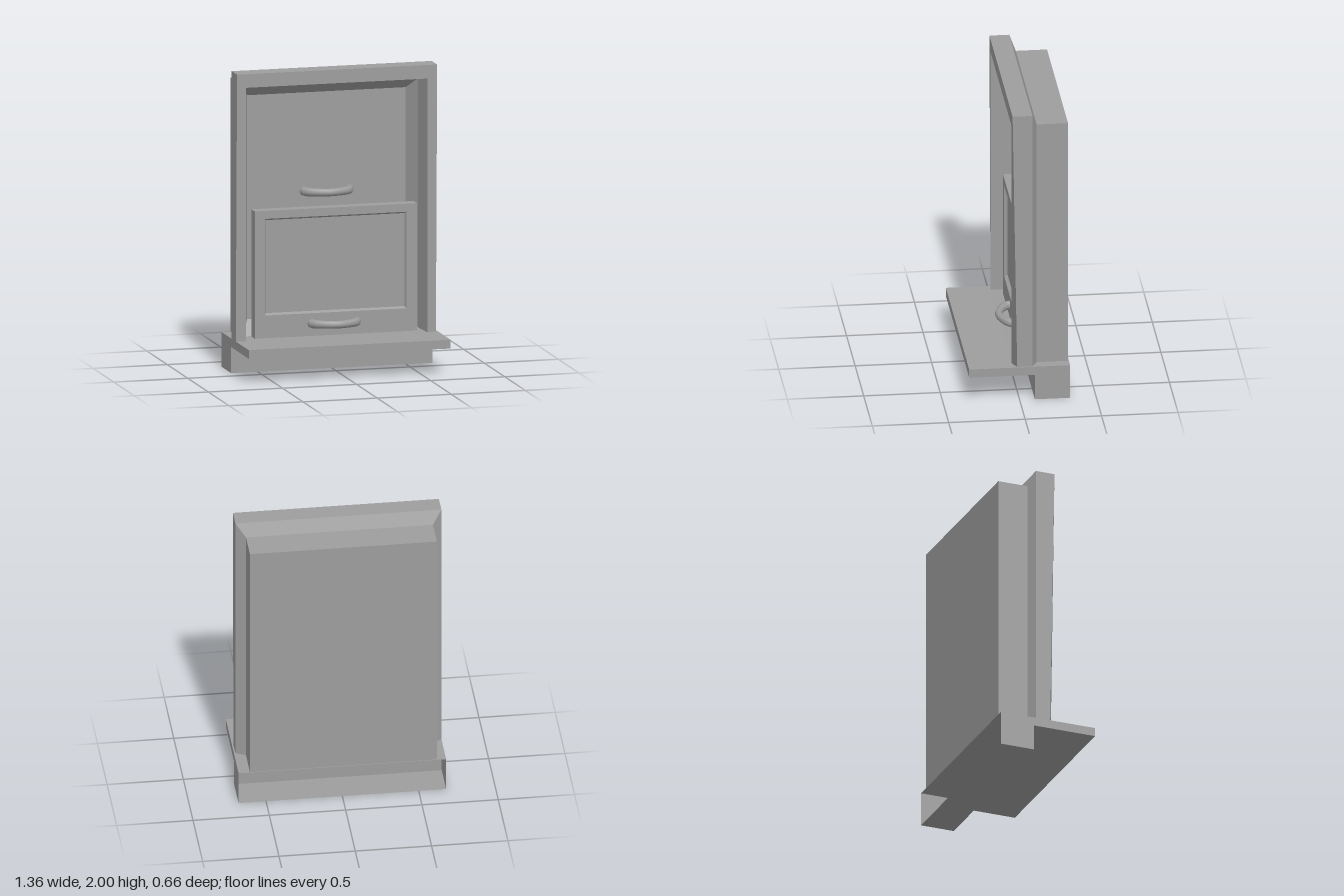
import * as THREE from 'three';

const material = new THREE.MeshStandardMaterial({ color: 0x9d9d9d, side: THREE.DoubleSide });

function add(group, geometry, name) {
  const mesh = new THREE.Mesh(geometry, material);
  mesh.name = name;
  group.add(mesh);
  return mesh;
}

// Skin over rectangular rings [x0, x1, y0, y1, zTop, zBottom], capped at both ends
function rings(list) {
  const corners = list.map(([x0, x1, y0, y1, z, zb = z]) =>
    [[x0, y0, zb], [x1, y0, zb], [x1, y1, z], [x0, y1, z]]);
  const pos = [];
  const quad = (a, b, c, d) => pos.push(...a, ...b, ...c, ...a, ...c, ...d);
  for (let i = 0; i + 1 < corners.length; i++) {
    const r = corners[i], s = corners[i + 1];
    for (let k = 0; k < 4; k++) {
      const n = (k + 1) % 4;
      quad(r[k], r[n], s[n], s[k]);
    }
  }
  const first = corners[0], last = corners[corners.length - 1];
  quad(first[3], first[2], first[1], first[0]);
  quad(...last);
  const g = new THREE.BufferGeometry();
  g.setAttribute('position', new THREE.Float32BufferAttribute(pos, 3));
  g.computeVertexNormals();
  // Slightly twisted front faces shade as one plane
  const normals = g.attributes.normal;
  for (let i = 0; i < normals.count; i++) {
    if (normals.getZ(i) > 0.85) normals.setXYZ(i, 0, 0, 1);
  }
  return g;
}

// L-shaped sill: profile in (z, y), open at the back
function sill(group) {
  const profile = [[-0.33, 0.23], [0.33, 0.23], [0.33, 0.172], [-0.1, 0.172], [-0.1, 0], [-0.33, 0]];
  const half = 0.68, pos = [];
  for (let i = 0; i + 1 < profile.length; i++) {
    const [z0, y0] = profile[i], [z1, y1] = profile[i + 1];
    const a = [-half, y0, z0], b = [-half, y1, z1], c = [half, y1, z1], d = [half, y0, z0];
    pos.push(...a, ...b, ...c, ...a, ...c, ...d);
  }
  const skin = new THREE.BufferGeometry();
  skin.setAttribute('position', new THREE.Float32BufferAttribute(pos, 3));
  skin.computeVertexNormals();
  add(group, skin, 'sill');
  for (const side of [-1, 1]) {
    const shape = new THREE.Shape(profile.map(([z, y]) => new THREE.Vector2(-side * z, y)));
    const end = add(group, new THREE.ShapeGeometry(shape), 'sillEnd');
    end.rotation.y = side * Math.PI / 2;
    end.position.x = side * half;
  }
}

// Bowed pull, slimmer in the middle
function handleGeometry() {
  const path = new THREE.CatmullRomCurve3([
    [-0.152, -0.01], [-0.146, 0.02], [-0.105, 0.055], [0, 0.088], [0.105, 0.055], [0.146, 0.02], [0.152, -0.01],
  ].map(([x, z]) => new THREE.Vector3(x, 0, z)));
  const segments = 12, radial = 8;
  const g = new THREE.TubeGeometry(path, segments, 0.025, radial);
  const p = g.attributes.position, v = new THREE.Vector3();
  for (let i = 0; i <= segments; i++) {
    const c = path.getPointAt(i / segments);
    const swell = 1 + 0.25 * (2 * i / segments - 1) ** 2;
    for (let j = 0; j <= radial; j++) {
      const k = i * (radial + 1) + j;
      v.fromBufferAttribute(p, k).sub(c).multiplyScalar(swell).add(c);
      p.setXYZ(k, v.x, v.y, v.z);
    }
  }
  return g;
}

export function createModel() {
  const group = new THREE.Group();
  sill(group);

  // Cabinet shell with face frame, jambs, splayed reveal and back panel
  add(group, rings([
    [-0.62, 0.605, 0.23, 1.91, -0.325],
    [-0.62, 0.605, 0.23, 1.91, -0.12],
    [-0.68, 0.67, 0.23, 2.0, -0.085],
    [-0.68, 0.67, 0.23, 2.0, 0.045, 0.015],
    [-0.62, 0.605, 0.231, 1.91, 0.045],
    [-0.595, 0.585, 0.235, 1.885, -0.115],
    [-0.54, 0.53, 0.33, 1.81, -0.215],
  ]), 'cabinetShell');

  // Lower sash with bevelled recessed panel
  add(group, rings([
    [-0.54, 0.555, 0.232, 1.075, -0.11],
    [-0.54, 0.555, 0.232, 1.075, -0.028],
    [-0.472, 0.485, 0.383, 1.022, -0.028],
    [-0.462, 0.475, 0.395, 1.01, -0.05],
  ]), 'lowerSash');

  // One handle on each panel
  const handle = handleGeometry();
  [['lowerHandle', 0.315, -0.028], ['upperHandle', 1.157, -0.208]].forEach(([name, y, z]) =>
    add(group, handle, name).position.set(-0.005, y, z));

  return group;
}
